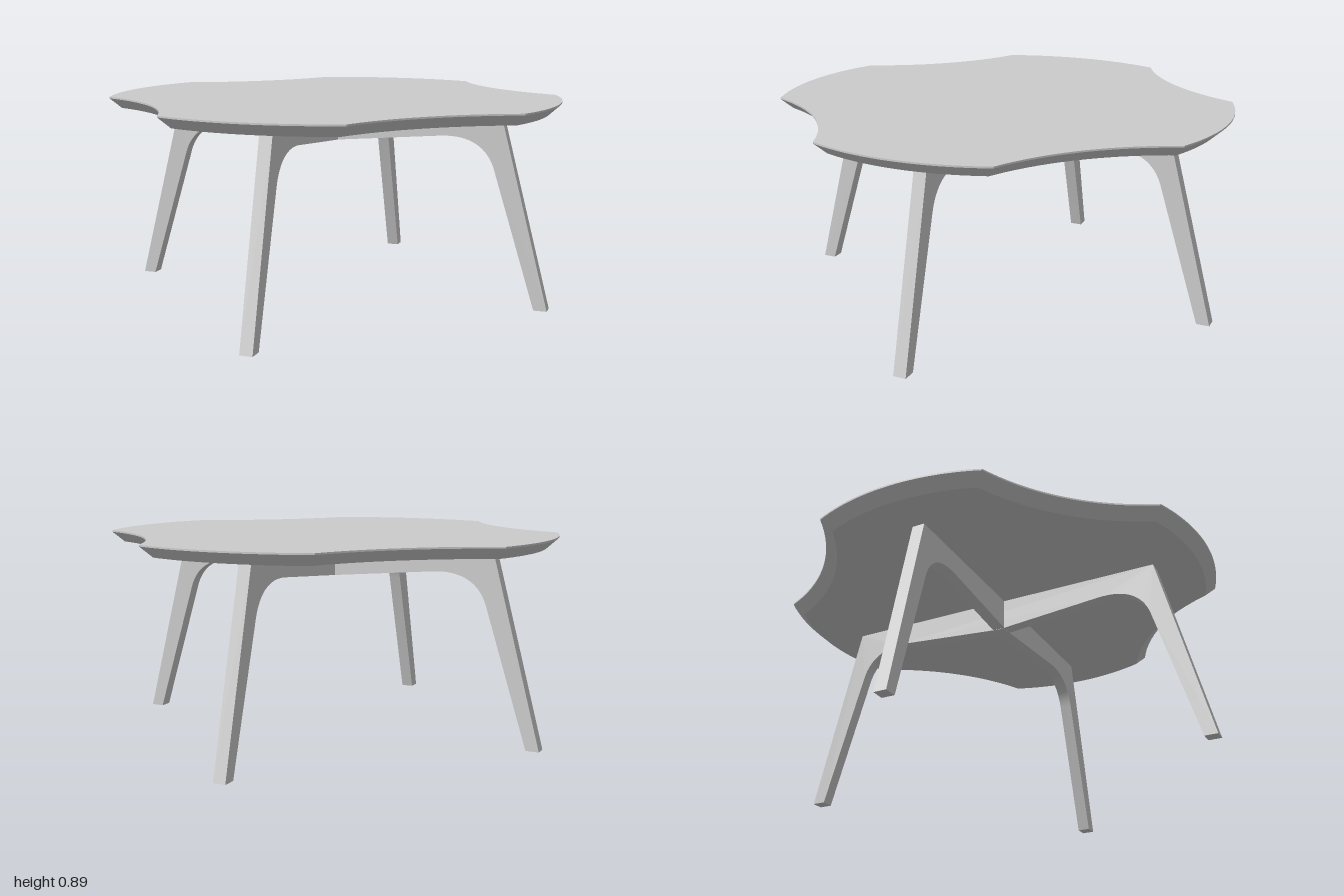
import * as THREE from 'three';
import { toCreasedNormals } from 'three/addons/utils/BufferGeometryUtils.js';

const TOP = 0.895, LIP = 0.888, UNDER = 0.843;
const TURN = Math.PI / 12; // the legs and lobes are turned 15 degrees
const STEPS = 24; // segments per arc

// Closed outline of four convex lobes and four concave scoops, offset inwards by d
function outline(d) {
  const D = 2 * Math.cos(Math.PI / 8); // distance to the scoop centres
  const r1 = 1 - d, r2 = 1 + d;
  const a = (D * D + r1 * r1 - r2 * r2) / (2 * D);
  const lobe = Math.PI / 4 - Math.acos(a / r1);
  const scoop = Math.acos((D - a) / r2);
  const pts = [];
  for (let k = 0; k < 4; k++) {
    const mid = TURN + k * Math.PI / 2, axis = mid + Math.PI / 4;
    for (let i = 0; i < STEPS; i++) {
      const t = mid + lobe * (2 * i / STEPS - 1);
      pts.push([r1 * Math.cos(t), r1 * Math.sin(t)]);
    }
    for (let i = 0; i < STEPS; i++) {
      const t = axis + scoop * (1 - 2 * i / STEPS);
      pts.push([D * Math.cos(axis) - r2 * Math.cos(t), D * Math.sin(axis) - r2 * Math.sin(t)]);
    }
  }
  return pts;
}

// Table top: thin vertical lip, then a chamfer running in to the underside
function tableTopGeometry() {
  const rings = [[0, TOP], [0, LIP], [0.05, UNDER]].map(([d, y]) =>
    outline(d).map(([x, z]) => [x, y, z]));
  const n = rings[0].length, pos = [];
  const tri = (a, b, c) => pos.push(...a, ...b, ...c);
  for (let i = 0; i < n; i++) {
    const j = (i + 1) % n;
    tri([0, TOP, 0], rings[0][j], rings[0][i]);
    tri([0, UNDER, 0], rings[2][i], rings[2][j]);
    for (let k = 0; k < 2; k++) {
      const up = rings[k], low = rings[k + 1];
      tri(up[i], up[j], low[i]);
      tri(up[j], low[j], low[i]);
    }
  }
  const geo = new THREE.BufferGeometry();
  geo.setAttribute('position', new THREE.Float32BufferAttribute(pos, 3));
  return toCreasedNormals(geo, 0.4);
}

// Leg frame: two splayed legs joined by a beam that deepens towards the middle
function legFrameGeometry() {
  const thick = 0.056;
  const s = new THREE.Shape();
  s.moveTo(0.983, 0);
  s.lineTo(0.762, UNDER);
  s.lineTo(-0.762, UNDER);
  s.lineTo(-0.983, 0);
  s.lineTo(-0.925, 0);
  s.lineTo(-0.735, 0.61);
  s.bezierCurveTo(-0.705, 0.7, -0.63, 0.752, -0.5, 0.743);
  s.lineTo(0, 0.7);
  s.lineTo(0.5, 0.743);
  s.bezierCurveTo(0.63, 0.752, 0.705, 0.7, 0.735, 0.61);
  s.lineTo(0.925, 0);
  s.closePath();
  const geo = new THREE.ExtrudeGeometry(s, { depth: thick, bevelEnabled: false, curveSegments: 16 });
  geo.translate(0, 0, -thick / 2);
  return toCreasedNormals(geo, 0.4);
}

export function createModel() {
  const model = new THREE.Group();
  model.name = 'table';
  const material = new THREE.MeshStandardMaterial({ color: 0xcccccc });

  const top = new THREE.Mesh(tableTopGeometry(), material);
  top.name = 'tableTop';
  model.add(top);

  // Two identical frames crossing at the centre
  const frameGeo = legFrameGeometry();
  for (let k = 0; k < 2; k++) {
    const frame = new THREE.Mesh(frameGeo, material);
    frame.name = `legFrame${k + 1}`;
    frame.rotation.y = -TURN - k * Math.PI / 2;
    model.add(frame);
  }
  return model;
}
